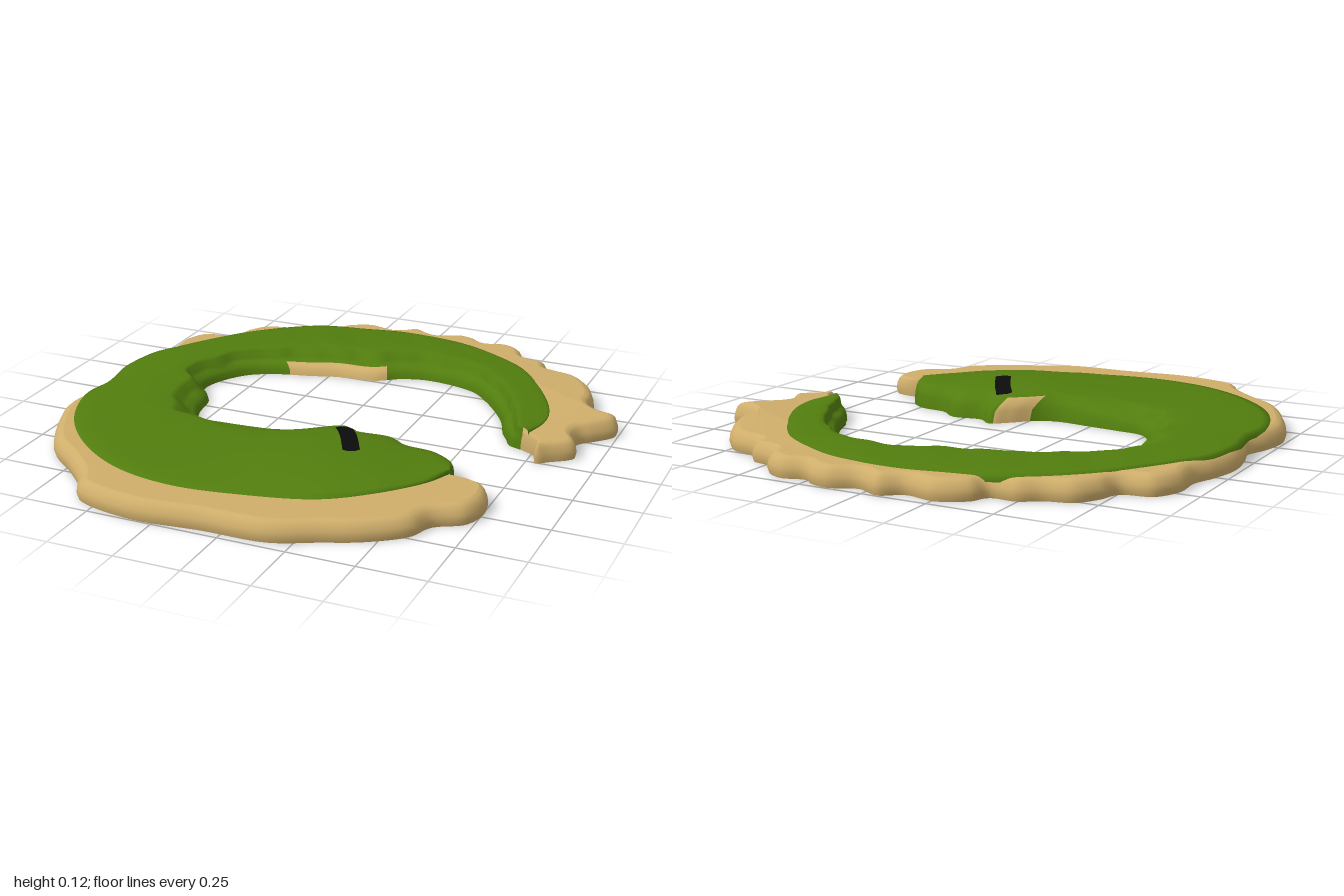
import * as THREE from 'three';

const material = (name, color) => {
  const m = new THREE.MeshStandardMaterial({ color, side: THREE.DoubleSide });
  m.name = name;
  return m;
};

// Outlines as x, z pairs, running from the thin tail round to the broad head.
const SHORE = [
  0.70, -0.09, 0.765, -0.05, 0.785, 0.01, 0.83, -0.02, 0.91, -0.09, 0.88, -0.17, 0.89, -0.22, 0.93, -0.26,
  0.995, -0.34, 0.985, -0.39, 0.91, -0.41, 0.86, -0.46, 0.85, -0.55, 0.8, -0.66, 0.72, -0.74, 0.59, -0.78,
  0.57, -0.83, 0.47, -0.86, 0.43, -0.93, 0.35, -0.97, 0.26, -0.95, 0.22, -0.98, 0.14, -1, 0.04, -0.96,
  -0.06, -1, -0.14, -0.95, -0.26, -0.97, -0.37, -0.91, -0.4, -0.85, -0.5, -0.845, -0.57, -0.8, -0.67, -0.77,
  -0.73, -0.69, -0.76, -0.61, -0.87, -0.58, -0.925, -0.48, -0.925, -0.36, -0.96, -0.26, -0.985, -0.13,
  -0.965, 0.02, -0.945, 0.09, -0.98, 0.2, -0.995, 0.33, -0.95, 0.47, -0.85, 0.65, -0.73, 0.75, -0.62, 0.86,
  -0.57, 0.94, -0.34, 1, -0.07, 0.98, 0.17, 0.97, 0.33, 0.9, 0.46, 0.84, 0.59, 0.74, 0.63, 0.65, 0.73, 0.58,
  0.76, 0.47, 0.73, 0.39, 0.66, 0.365, 0.59, 0.37,
];
const GRASS_EDGE = [
  0.73, -0.08, 0.76, -0.21, 0.74, -0.32, 0.68, -0.45, 0.59, -0.6, 0.49, -0.71, 0.35, -0.8, 0.19, -0.87,
  -0.07, -0.9, -0.26, -0.87, -0.42, -0.84, -0.53, -0.78, -0.69, -0.64, -0.81, -0.48, -0.89, -0.35,
  -0.94, -0.26, -0.968, -0.08, -0.955, 0.02, -0.945, 0.1, -0.96, 0.235, -0.88, 0.46, -0.72, 0.65, -0.5, 0.79,
  -0.26, 0.84, 0, 0.81, 0.25, 0.74, 0.41, 0.62, 0.54, 0.47, 0.588, 0.37,
];
const LAGOON = [
  0.70, -0.09, 0.65, -0.11, 0.62, -0.16, 0.595, -0.2, 0.545, -0.32, 0.43, -0.48, 0.34, -0.56, 0.14, -0.6,
  0.03, -0.57, -0.06, -0.51, -0.21, -0.49, -0.32, -0.455, -0.45, -0.42, -0.56, -0.36, -0.64, -0.235,
  -0.65, -0.14, -0.58, -0.05, -0.55, 0.09, -0.48, 0.19, -0.37, 0.21, -0.24, 0.225, -0.1, 0.24, -0.02, 0.21,
  0.06, 0.13, 0.12, 0.085, 0.18, 0.13, 0.3, 0.12, 0.38, 0.18, 0.49, 0.2, 0.57, 0.27, 0.59, 0.37,
];

function trace(flat, n) {
  const pts = [];
  for (let i = 0; i < flat.length; i += 2) pts.push(new THREE.Vector3(flat[i], 0, flat[i + 1]));
  const curve = new THREE.CatmullRomCurve3(pts);
  curve.arcLengthDivisions = 1500;
  return curve.getSpacedPoints(n);
}

// Surface through rows of points; isSecond(row, column) picks the second material.
function sheet(rows, isSecond = () => false) {
  const cols = rows[0].length;
  const faces = [[], []];
  for (let r = 0; r < rows.length - 1; r++) {
    for (let c = 0; c < cols - 1; c++) {
      const a = r * cols + c, b = a + 1, d = a + cols, e = d + 1;
      faces[isSecond(r, c) ? 1 : 0].push(a, b, d, b, e, d);
    }
  }
  const g = new THREE.BufferGeometry().setFromPoints(rows.flat());
  g.setIndex([...faces[0], ...faces[1]]);
  g.addGroup(0, faces[0].length, 0);
  g.addGroup(faces[0].length, faces[1].length, 1);
  g.computeVertexNormals();
  return g;
}

const bump = (p, x, z, r) => Math.exp(-((p.x - x) ** 2 + (p.z - z) ** 2) / (r * r));

export function createModel() {
  const sand = material('sand', 0xcfae6b);
  const grass = material('grass', 0x527d0e);
  const asphalt = material('asphalt', 0x0c0c0c);
  const island = new THREE.Group();
  island.name = 'island';
  const add = (name, geometry, mat) => {
    const mesh = new THREE.Mesh(geometry, mat);
    mesh.name = name;
    island.add(mesh);
    return mesh;
  };

  const N = 300;
  const shore = trace(SHORE, 420), edge = trace(GRASS_EDGE, N), lagoon = trace(LAGOON, N);

  // Rounded, scalloped beach rim
  const ring = (inset, y) => shore.map((p, i) => {
    const a = shore[Math.max(i - 2, 0)], b = shore[Math.min(i + 2, shore.length - 1)];
    const t = b.clone().sub(a).normalize();
    const k = inset * Math.min(1, 0.2 + i / 35, 0.1 + (shore.length - 1 - i) / 15);
    const lift = y > 0.05 ? 0.012 * bump(p, 0.85, -0.4, 0.2) : 0;
    return new THREE.Vector3(p.x + t.z * k, y + lift, p.z - t.x * k);
  });
  const rim = [[0.006, 0], [0, 0.02], [0.003, 0.04], [0.013, 0.06], [0.026, 0.071], [0.04, 0.075]]
    .map(([inset, y]) => ring(inset, y));
  add('beachRim', sheet(rim), sand);

  // Beach top, running in underneath the grass
  const top = rim[rim.length - 1];
  const middle = edge.map((p, i) => p.clone().lerp(lagoon[i], 0.5).setY(0.075)).reverse();
  const loop = [...top, ...middle];
  const beach = new THREE.ShapeGeometry(new THREE.Shape(loop.map((p) => new THREE.Vector2(p.x, -p.z))));
  beach.rotateX(-Math.PI / 2);
  const pos = beach.attributes.position;
  for (let i = 0; i < pos.count; i++) {
    const p = new THREE.Vector3().fromBufferAttribute(pos, i);
    const near = top.find((q) => Math.hypot(q.x - p.x, q.z - p.z) < 1e-5);
    pos.setY(i, near ? near.y : 0.075);
  }
  beach.computeVertexNormals();
  add('beachTop', beach, sand);

  // Flat underside
  const under = [...rim[0], ...lagoon.slice(1, -1).reverse()];
  const base = new THREE.ShapeGeometry(new THREE.Shape(under.map((p) => new THREE.Vector2(p.x, p.z))));
  base.rotateX(Math.PI / 2);
  add('underside', base, sand);

  // Grass: [fraction across, height on the ring, height on the head]
  const profile = [
    [0, 0.055, 0.055], [0, 0.078, 0.077], [0.06, 0.083, 0.082], [0.2, 0.086, 0.085], [0.4, 0.089, 0.087],
    [0.6, 0.091, 0.088], [0.71, 0.09, 0.088], [0.76, 0.083, 0.087], [0.8, 0.058, 0.086], [0.84, 0.05, 0.084],
    [0.9, 0.046, 0.08], [0.95, 0.036, 0.068], [0.985, 0.022, 0.045], [1, 0, 0],
  ];
  const rows = profile.map(([s, ringY, headY], r) => edge.map((p, i) => {
    const t = i / N;
    const head = THREE.MathUtils.smoothstep(t, 0.62, 0.74);
    const inner = r > 5 && r < 10 ? 1 - head : 0;
    const wobble = inner * 0.02 * (Math.sin(t * 95) + 0.6 * Math.sin(t * 173 + 1));
    const q = p.clone().lerp(lagoon[i], s + wobble + inner * 0.05 * THREE.MathUtils.smoothstep(t, 0.4, 0.5));
    q.y = THREE.MathUtils.lerp(ringY, headY, head);
    if (s > 0 && s < 0.95) {
      q.y += 0.03 * head * bump(q, 0.15, 0.48, 0.33) * Math.min(1, s * 4);
      q.y += 0.0015 * Math.sin(q.x * 23 + 1) * Math.sin(q.z * 19);
    }
    return q;
  }));
  // Small sandy strips on the lagoon side
  const strip = (r, c) => {
    const t = c / N;
    return (r >= 10 && t > 0.28 && t < 0.4) || (r >= 10 && t > 0.77 && t < 0.815);
  };
  const land = add('grassland', sheet(rows, strip), [grass, sand]);

  // Runway draped over the head
  const path = new THREE.CatmullRomCurve3([[0.105, 0.185], [0.165, 0.28], [0.235, 0.415]]
    .map(([x, z]) => new THREE.Vector3(x, 0, z)));
  const ray = new THREE.Raycaster();
  const down = new THREE.Vector3(0, -1, 0);
  const lanes = [-1, -0.5, 0, 0.5, 1].map((side) => path.getSpacedPoints(24).map((p, i) => {
    const t = path.getTangentAt(i / 24);
    const f = Math.abs(i / 12 - 1);
    const half = 0.031 * Math.min(1, Math.sqrt(Math.max(0, 1 - f ** 8)) + 0.45);
    const q = new THREE.Vector3(p.x + t.z * half * side, 1, p.z - t.x * half * side);
    ray.set(q, down);
    const hit = ray.intersectObject(land)[0];
    return q.setY((hit ? hit.point.y : 0.09) + 0.004);
  }));
  add('runway', sheet(lanes.reverse()), asphalt);

  return island;
}
